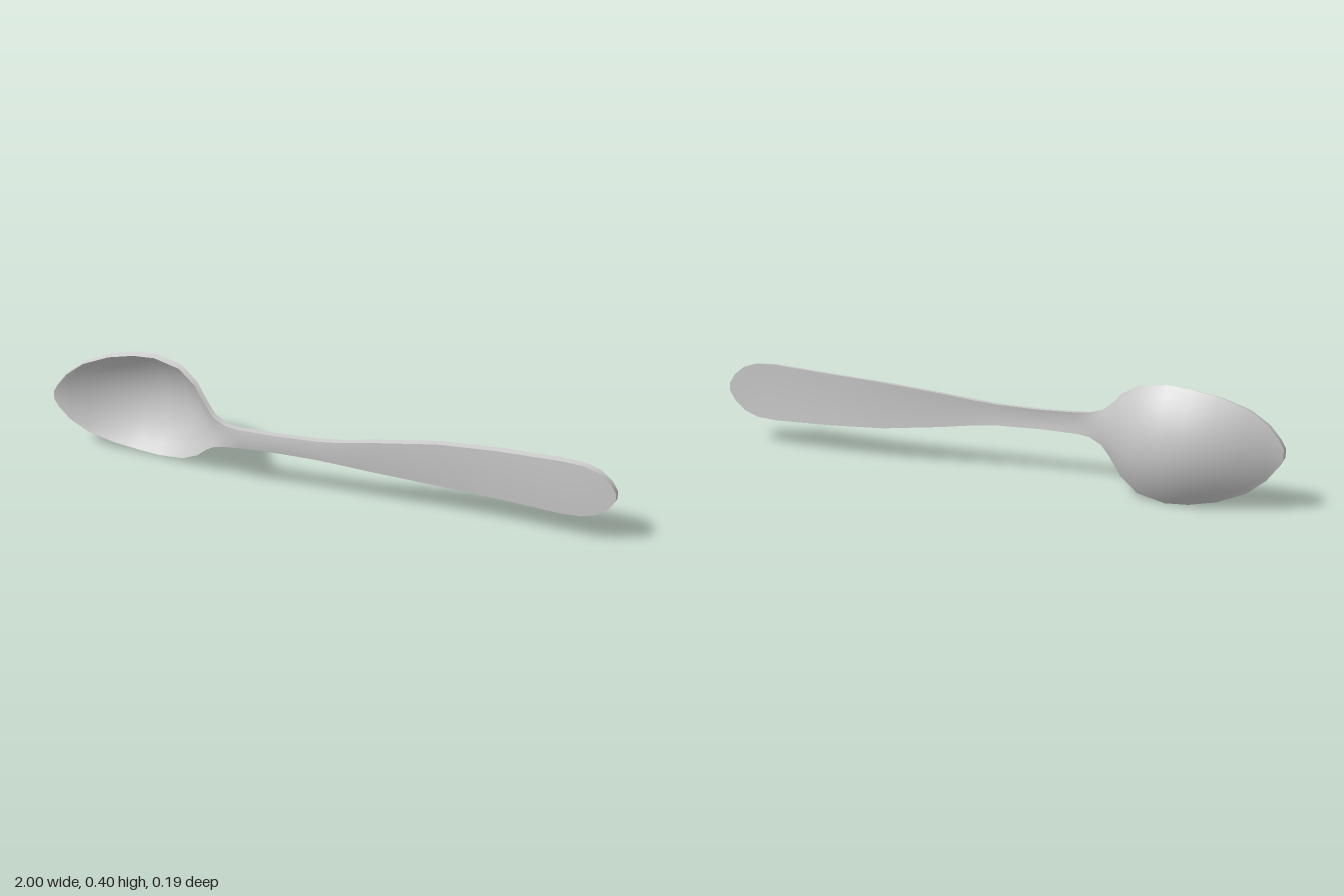
import * as THREE from 'three';
import { toCreasedNormals } from 'three/addons/utils/BufferGeometryUtils.js';

const MID_Y = 0.202; // height of the spoon's long axis
const SIDES = 12;    // strips across each face

// Cross-sections along the spoon: x, half width, z of the front rim, hollow depth
const bowl = [
  [-1, 0.016, 0.082, 0], [-0.985, 0.045, 0.079, 0.004], [-0.95, 0.092, 0.07, 0.016],
  [-0.89, 0.14, 0.053, 0.038], [-0.8, 0.176, 0.03, 0.068], [-0.71, 0.194, 0.013, 0.078],
  [-0.63, 0.2, 0.008, 0.078], [-0.53, 0.184, 0.016, 0.06], [-0.46, 0.142, 0.036, 0.036],
  [-0.41, 0.092, 0.061, 0.018],
];
const handle = [
  [-0.37, 0.06, 0.08, 0.008], [-0.32, 0.042, 0.09, 0], [-0.27, 0.037, 0.087, -0.003],
  [-0.15, 0.034, 0.069, -0.003], [0, 0.037, 0.048, -0.002], [0.08, 0.044, 0.035, -0.002],
  [0.2, 0.06, 0.009, -0.002], [0.4, 0.082, -0.032, -0.002], [0.6, 0.093, -0.056, -0.002],
  [0.82, 0.102, -0.069, -0.002], [0.89, 0.098, -0.073, -0.002], [0.94, 0.081, -0.076, -0.001],
  [0.98, 0.048, -0.079, 0], [1, 0.014, -0.081, 0],
];

// Closed ring: up the front face, then down the back face
function ring([x, w, rim, depth]) {
  const points = [];
  const thick = 0.021;
  for (const back of [false, true]) {
    for (let j = 0; j <= SIDES; j++) {
      const v = (back ? -1 : 1) * (2 * j / SIDES - 1);
      const z = rim - depth * (1 - v * v) - (back ? thick : 0);
      points.push([x, MID_Y + v * w * (back ? 1 : 0.965), z]);
    }
  }
  return points;
}

// Skin over the rings, with a fan closing each end
function loft(sections) {
  const rings = sections.map(ring);
  const n = rings[0].length;
  const last = rings.length - 1;
  const positions = rings.flat(2);
  const index = [];
  for (let i = 0; i < last; i++) {
    for (let j = 0; j < n; j++) {
      const k = (j + 1) % n;
      const a = i * n + j, b = a + n, c = (i + 1) * n + k, d = i * n + k;
      index.push(a, b, c, a, c, d);
    }
  }
  for (let j = 1; j < n - 1; j++) {
    index.push(0, j, j + 1);
    index.push(last * n, last * n + j + 1, last * n + j);
  }
  const geometry = new THREE.BufferGeometry();
  geometry.setAttribute('position', new THREE.Float32BufferAttribute(positions, 3));
  geometry.setIndex(index);
  return toCreasedNormals(geometry, 0.9);
}

export function createModel() {
  const group = new THREE.Group();
  group.name = 'spoon';
  // Bowl and handle are one continuous piece
  const body = new THREE.Mesh(
    loft([...bowl, ...handle]),
    new THREE.MeshStandardMaterial({ color: 0xcccccc })
  );
  body.name = 'bowlAndHandle';
  group.add(body);
  return group;
}
